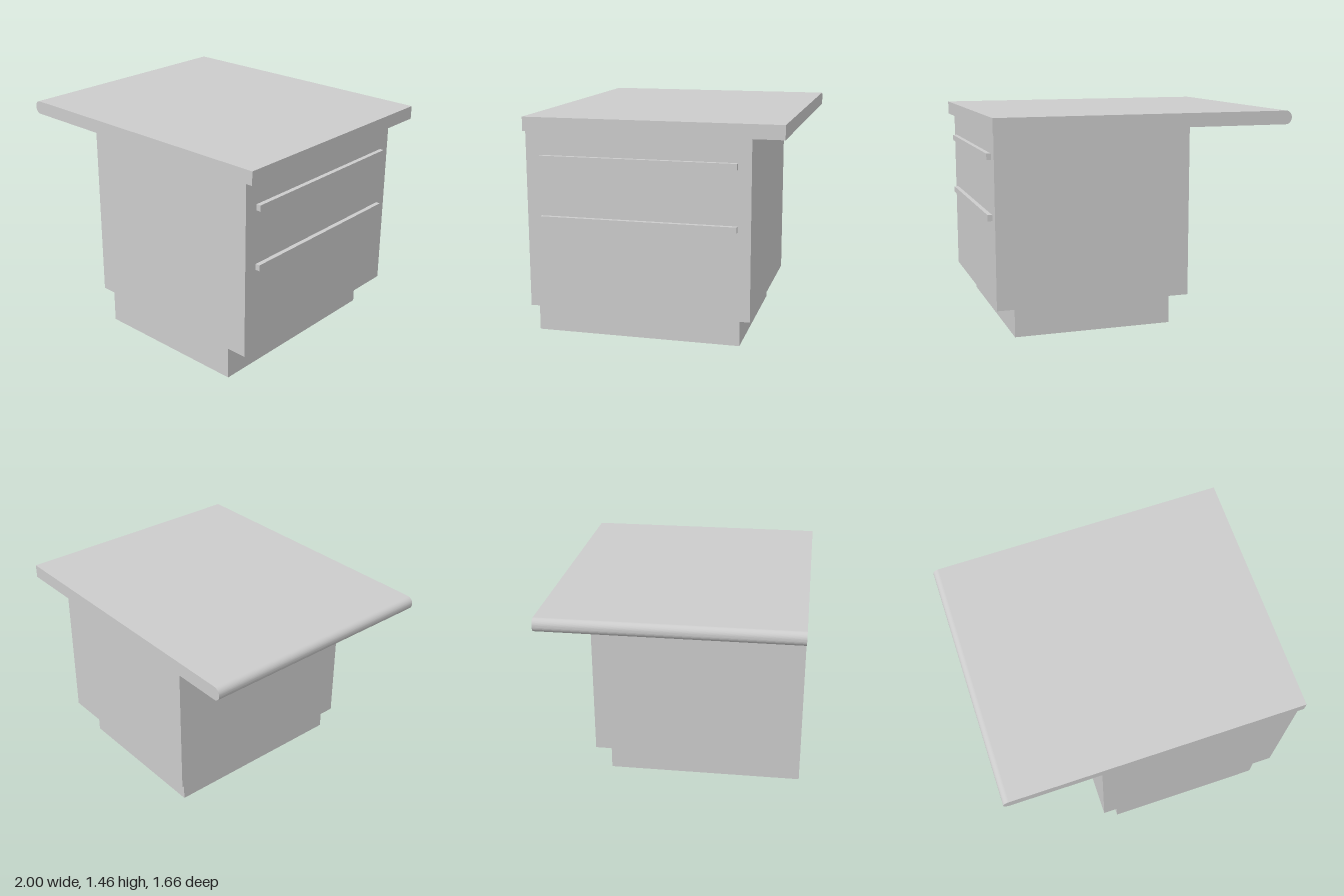
import * as THREE from 'three';

const FRONT = 0.83;

export function createModel() {
  const model = new THREE.Group();
  const solid = new THREE.MeshStandardMaterial({ color: 0xcccccc });
  const shell = new THREE.MeshStandardMaterial({ color: 0xcccccc, side: THREE.DoubleSide, flatShading: true });

  const add = (name, geometry, material = solid) => {
    const mesh = new THREE.Mesh(geometry, material);
    mesh.name = name;
    model.add(mesh);
    return mesh;
  };

  // Hollow cabinet with a recessed plinth, open underneath, front flush
  const ring = (y, x0, x1, back) => [
    [x0, y, FRONT], [x1, y, FRONT], [x1, y, back], [x0, y, back],
  ];
  const rings = [
    ring(0, -0.26, 0.82, -0.535),
    ring(0.213, -0.26, 0.82, -0.535),
    ring(0.213, -0.36, 0.955, -0.625),
    ring(1.37, -0.36, 0.955, -0.625),
  ];
  const points = [];
  for (let r = 0; r < 3; r++) {
    for (let i = 0; i < 4; i++) {
      if (r === 1 && i === 0) continue; // no ledge along the flush front
      const j = (i + 1) % 4;
      const [a, b, c, d] = [rings[r][i], rings[r][j], rings[r + 1][j], rings[r + 1][i]];
      points.push(...a, ...b, ...c, ...a, ...c, ...d);
    }
  }
  const cabinet = new THREE.BufferGeometry();
  cabinet.setAttribute('position', new THREE.Float32BufferAttribute(points, 3));
  cabinet.computeVertexNormals();
  add('cabinet', cabinet, shell);

  // Worktop overhanging on one side, with a rounded outer edge
  const y0 = 1.37, y1 = 1.46, r = 0.042;
  const profile = new THREE.Shape();
  profile.moveTo(1, y0);
  profile.lineTo(1, y1);
  profile.lineTo(-1 + r, y1);
  profile.absarc(-1 + r, y1 - r, r, Math.PI / 2, Math.PI, false);
  profile.lineTo(-1, y0 + r);
  profile.absarc(-1 + r, y0 + r, r, Math.PI, Math.PI * 1.5, false);
  profile.closePath();
  const top = new THREE.ExtrudeGeometry(profile, { depth: 2 * FRONT, bevelEnabled: false, curveSegments: 8 });
  add('worktop', top.translate(0, 0, -FRONT));

  // Long bar handles on the drawer side
  [['upperHandle', 1.195], ['lowerHandle', 0.803]].forEach(([name, y]) => {
    add(name, new THREE.BoxGeometry(0.03, 0.04, 1.275)).position.set(0.97, y, 0.0975);
  });

  return model;
}
